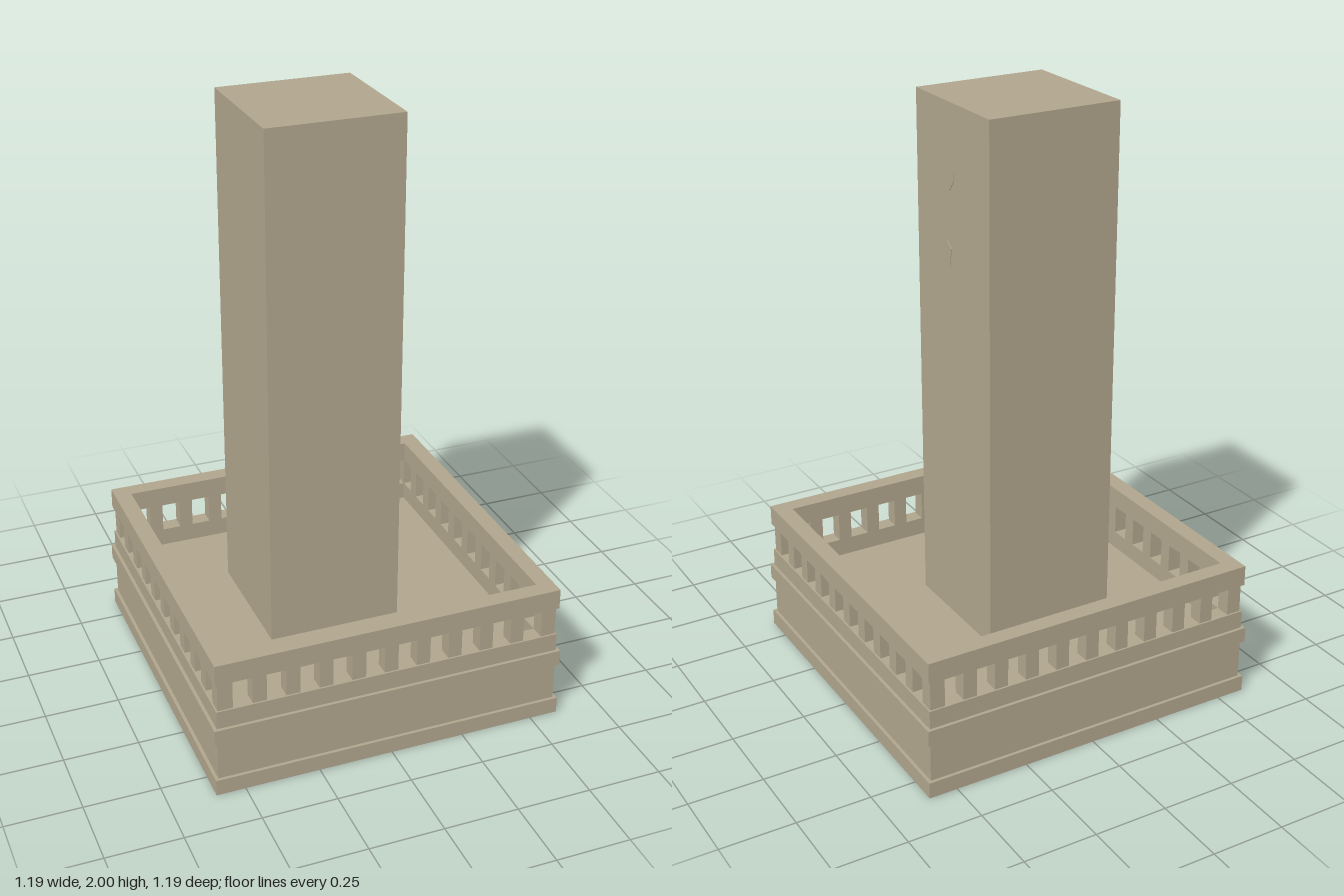
import * as THREE from 'three';

const stone = new THREE.MeshStandardMaterial({ color: 0xb0a58d, flatShading: true });

function square(h, Type = THREE.Shape) {
  const s = new Type();
  s.moveTo(-h, -h);
  s.lineTo(h, -h);
  s.lineTo(h, h);
  s.lineTo(-h, h);
  s.closePath();
  return s;
}

// Square slab from y0 to y1; a hole half-width makes it a ring
function slab(name, half, y0, y1, hole = 0) {
  const shape = square(half);
  if (hole) shape.holes.push(square(hole, THREE.Path));
  const geo = new THREE.ExtrudeGeometry(shape, { depth: y1 - y0, bevelEnabled: false });
  geo.rotateX(-Math.PI / 2);
  geo.translate(0, y0, 0);
  const mesh = new THREE.Mesh(geo, stone);
  mesh.name = name;
  return mesh;
}

function box(name, w, h, d, x, y, z) {
  const mesh = new THREE.Mesh(new THREE.BoxGeometry(w, h, d), stone);
  mesh.position.set(x, y, z);
  mesh.name = name;
  return mesh;
}

export function createModel() {
  const model = new THREE.Group();
  model.name = 'towerOnTerrace';
  const inner = 0.53, outer = 0.58;
  const sill = 0.305, head = 0.405;

  // Base with two projecting bands, then the parapet rings
  model.add(
    slab('plinth', 0.597, 0, 0.055),
    slab('baseWall', 0.586, 0.055, 0.19),
    slab('terraceBand', 0.597, 0.19, 0.243),
    slab('parapetSill', 0.586, 0.243, sill, inner),
    slab('parapetRail', 0.588, head, 0.475, inner)
  );

  // Balustrade: ten openings per side, with piers between and corner posts
  const balustrade = new THREE.Group();
  balustrade.name = 'balustrade';
  const pitch = 0.1105, opening = 0.064;
  const depth = outer - inner, mid = (outer + inner) / 2;
  const h = head - sill, y = (head + sill) / 2;
  for (let side = 0; side < 4; side++) {
    const run = new THREE.Group();
    run.name = 'balustradeSide';
    for (let i = 0; i < 9; i++) {
      run.add(box('pier', pitch - opening, h, depth, (i - 4) * pitch, y, mid));
    }
    run.add(box('cornerPost', depth, h, depth, mid, y, mid));
    run.rotation.y = side * Math.PI / 2;
    balustrade.add(run);
  }
  model.add(balustrade);

  // Tall shaft, slightly off centre
  const y0 = 0.243, size = 0.453, centre = -0.037;
  model.add(box('shaft', size, 2 - y0, size, centre, (2 + y0) / 2, centre));

  // Small irregular chips on the left face of the shaft, as [z, y]
  const chips = [
    [[-0.017, 1.78], [-0.048, 1.79], [-0.048, 1.76], [-0.022, 1.725], [-0.017, 1.73]],
    [[-0.003, 1.56], [-0.03, 1.54], [-0.02, 1.48], [0, 1.505]]
  ];
  for (const points of chips) {
    const shape = new THREE.Shape(points.map(([z, py]) => new THREE.Vector2(-z, py)));
    const geo = new THREE.ExtrudeGeometry(shape, { depth: 0.003, bevelEnabled: false });
    geo.rotateY(Math.PI / 2);
    geo.translate(centre + size / 2 - 0.001, 0, 0);
    const chip = new THREE.Mesh(geo, stone);
    chip.name = 'stoneChip';
    model.add(chip);
  }
  return model;
}
